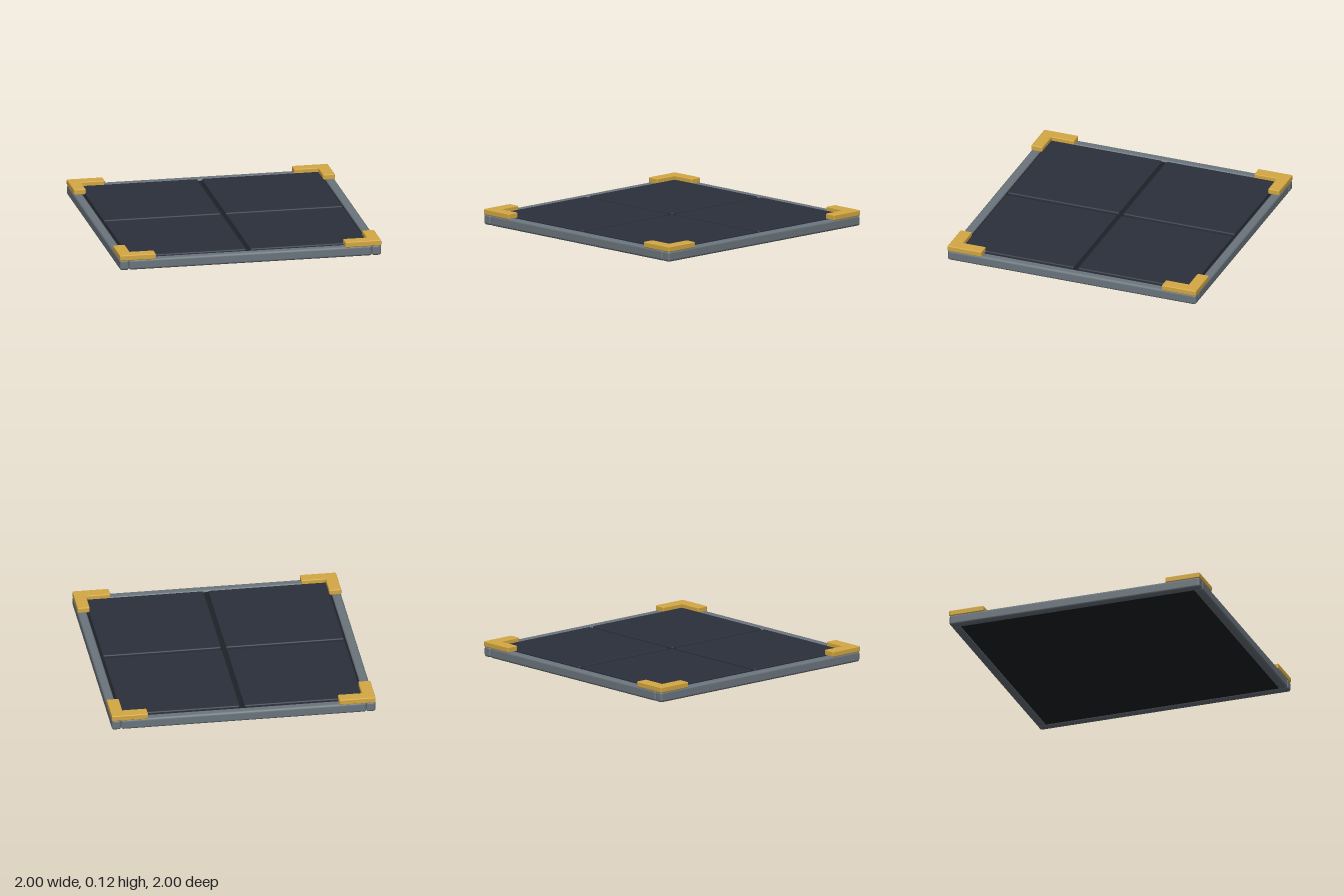
import * as THREE from 'three';
import { RoundedBoxGeometry } from 'three/addons/geometries/RoundedBoxGeometry.js';

const paint = (color) => new THREE.MeshStandardMaterial({ color });

// Rounded block given by its lower and upper corners
function block(name, min, max, radius, material) {
  const size = max.map((v, i) => v - min[i]);
  const mesh = new THREE.Mesh(new RoundedBoxGeometry(...size, 3, radius), material);
  mesh.position.set(...max.map((v, i) => (v + min[i]) / 2));
  mesh.name = name;
  return mesh;
}

export function createModel() {
  const model = new THREE.Group();
  model.name = 'floorPanel';
  const steel = paint(0x6b757d);
  const dark = paint(0x2a303b);
  const base = paint(0x1e2226);
  const gold = paint(0xd4a843);

  // Base plate, slightly recessed underneath
  const plate = new THREE.Mesh(new THREE.BoxGeometry(1.9, 0.055, 1.9), base);
  plate.position.y = 0.0375;
  plate.name = 'basePlate';
  model.add(plate);

  for (const s of [-1, 1]) {
    // Full-length side rails, with front and back rails fitted between them
    const a = s > 0 ? 0.93 : -1;
    const b = s > 0 ? 1 : -0.93;
    model.add(block('sideRail', [a, 0, -1], [b, 0.08, 1], 0.018, steel));
    model.add(block(s > 0 ? 'frontRail' : 'backRail', [-0.93, 0, a], [0.93, 0.08, b], 0.018, steel));

    for (const t of [-1, 1]) {
      // Four inset tiles
      const tile = block('tile', [-0.45, 0.05, -0.45], [0.45, 0.087, 0.45], 0.012, dark);
      tile.position.x = s * 0.466;
      tile.position.z = t * 0.466;
      model.add(tile);

      // L-shaped corner guard
      const guard = new THREE.Group();
      guard.name = 'cornerGuard';
      const armX = block('guardArmX', [0.725, 0.075, 0.908], [1, 0.118, 1], 0.007, gold);
      const armZ = block('guardArmZ', [0.908, 0.075, 0.725], [1, 0.118, 1], 0.007, gold);
      for (const arm of [armX, armZ]) {
        arm.position.x *= s;
        arm.position.z *= t;
        guard.add(arm);
      }
      model.add(guard);
    }
  }
  return model;
}
